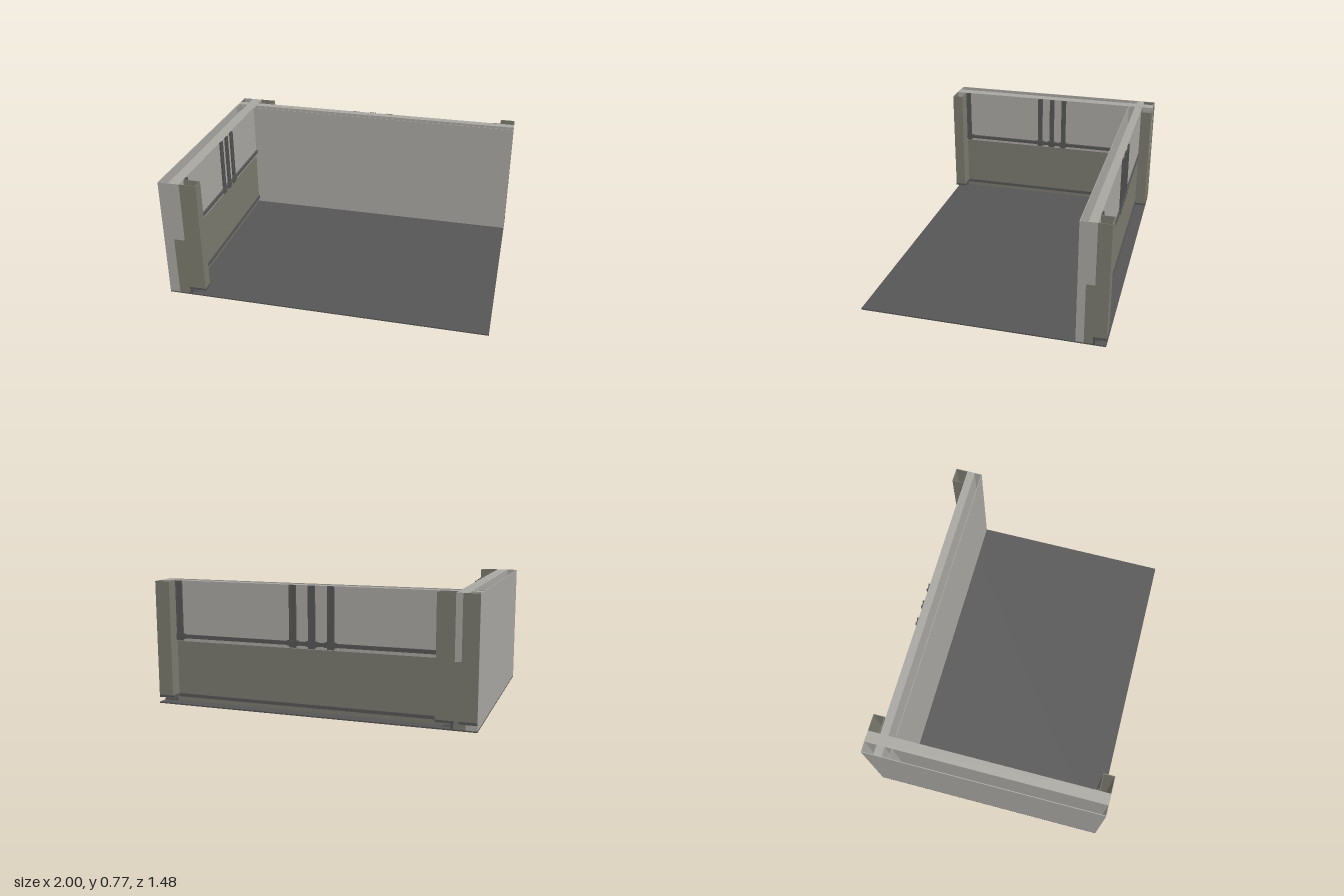
import * as THREE from 'three';

const make = (name, color) => {
  const m = new THREE.MeshStandardMaterial({ color });
  m.name = name;
  return m;
};

export function createModel() {
  const light = make('pale plaster', 0xa9a7a2);
  const olive = make('olive panel', 0x7a7a6f);
  const dark = make('dark metal', 0x565656);
  const model = new THREE.Group();
  model.name = 'roomCorner';

  // Box given by its limits on each axis
  const box = (parent, name, mat, x0, x1, y0, y1, z0, z1) => {
    const mesh = new THREE.Mesh(new THREE.BoxGeometry(x1 - x0, y1 - y0, z1 - z0), mat);
    mesh.position.set((x0 + x1) / 2, (y0 + y1) / 2, (z0 + z1) / 2);
    mesh.name = name;
    parent.add(mesh);
    return mesh;
  };

  const H = 0.77, MID = 0.39, BASE = 0.008;

  // Wall module: x runs along the wall (-1..1), z from plain face (0) to pillar face (1)
  const wall = (name) => {
    const g = new THREE.Group();
    g.name = name;

    // Plain outer sheet with end caps, open at the top
    box(g, 'plainSheet', light, -1, 1, BASE, H, 0, 0.02);
    for (const s of [-1, 1]) {
      const a = s * 0.996, b = s;
      box(g, 'endCap', light, Math.min(a, b), Math.max(a, b), BASE, H, 0.02, 0.27);
    }

    // Solid core: olive below, pale above
    box(g, 'lowerPanel', olive, -1, 1, BASE, MID, 0.27, 0.56);
    box(g, 'upperPanel', light, -1, 1, MID, H, 0.27, 0.56);

    // Skirting and middle rail
    box(g, 'skirting', dark, -0.9, 0.9, 0.035, 0.055, 0.56, 0.6);
    box(g, 'middleRail', dark, -0.9, 0.9, 0.41, 0.434, 0.56, 0.6);
    box(g, 'railLip', dark, -0.9, 0.9, 0.428, 0.434, 0.6, 0.615);
    for (const u of [-0.8, -0.62, -0.38, -0.22, 0.22, 0.38, 0.62, 0.8])
      box(g, 'railBolt', dark, u - 0.006, u + 0.006, 0.416, 0.426, 0.6, 0.615);

    // Upright strips with raised edges and a bracket at the foot
    for (const u of [-0.88, -0.12, 0, 0.12]) {
      box(g, 'strip', dark, u - 0.022, u + 0.022, 0.395, H, 0.56, 0.595);
      for (const s of [-1, 1]) {
        box(g, 'stripEdge', dark, u + s * 0.018 - 0.004, u + s * 0.018 + 0.004, 0.395, H, 0.595, 0.615);
        box(g, 'bracketBolt', dark, u + s * 0.025 - 0.005, u + s * 0.025 + 0.005, 0.415, 0.428, 0.62, 0.635);
      }
      box(g, 'bracket', dark, u - 0.037, u + 0.037, 0.407, 0.44, 0.56, 0.62);
    }

    // Hollow end pillars on small plinths
    for (const s of [-1, 1]) {
      const p = new THREE.Group();
      p.name = 'pillar';
      p.position.x = s * 0.9525;
      box(p, 'pillarFace', olive, -0.0475, 0.0475, 0.055, H, 0.98, 1);
      for (const t of [-1, 1])
        box(p, 'pillarSide', olive, t * 0.0455 - 0.002, t * 0.0455 + 0.002, 0.055, H, 0.56, 0.98);
      box(p, 'plinth', dark, -0.057, 0.0475, 0.04, 0.055, 0.56, 1.005).scale.x = 0.995;
      box(p, 'plinthFoot', dark, -0.04, 0.046, BASE, 0.04, 0.56, 0.63);
      box(p, 'footPlate', dark, -0.03, 0.03, 0.018, 0.024, 0.63, 0.8);
      if (s < 0) p.children.forEach((c) => { c.position.x *= -1; });
      g.add(p);
    }
    model.add(g);
    return g;
  };

  // Left wall faces +x, back wall faces -z
  const side = wall('sideWall');
  side.rotation.y = Math.PI / 2;
  side.scale.set(0.74, 1, 0.24);
  side.position.x = -1;

  const back = wall('backWall');
  back.rotation.y = Math.PI;
  back.scale.set(0.999, 0.999, 0.176);
  back.position.z = -0.565;

  // Floor slab and the pale strip inside the back wall cavity
  box(model, 'floor', dark, -1, 1, 0, BASE, -0.74, 0.74);
  box(model, 'cavityBase', light, -0.75, 0.65, BASE, BASE + 0.003, -0.612, -0.568);
  box(model, 'cavityBaseEnd', light, 0.87, 0.995, BASE, BASE + 0.003, -0.612, -0.568);

  return model;
}
